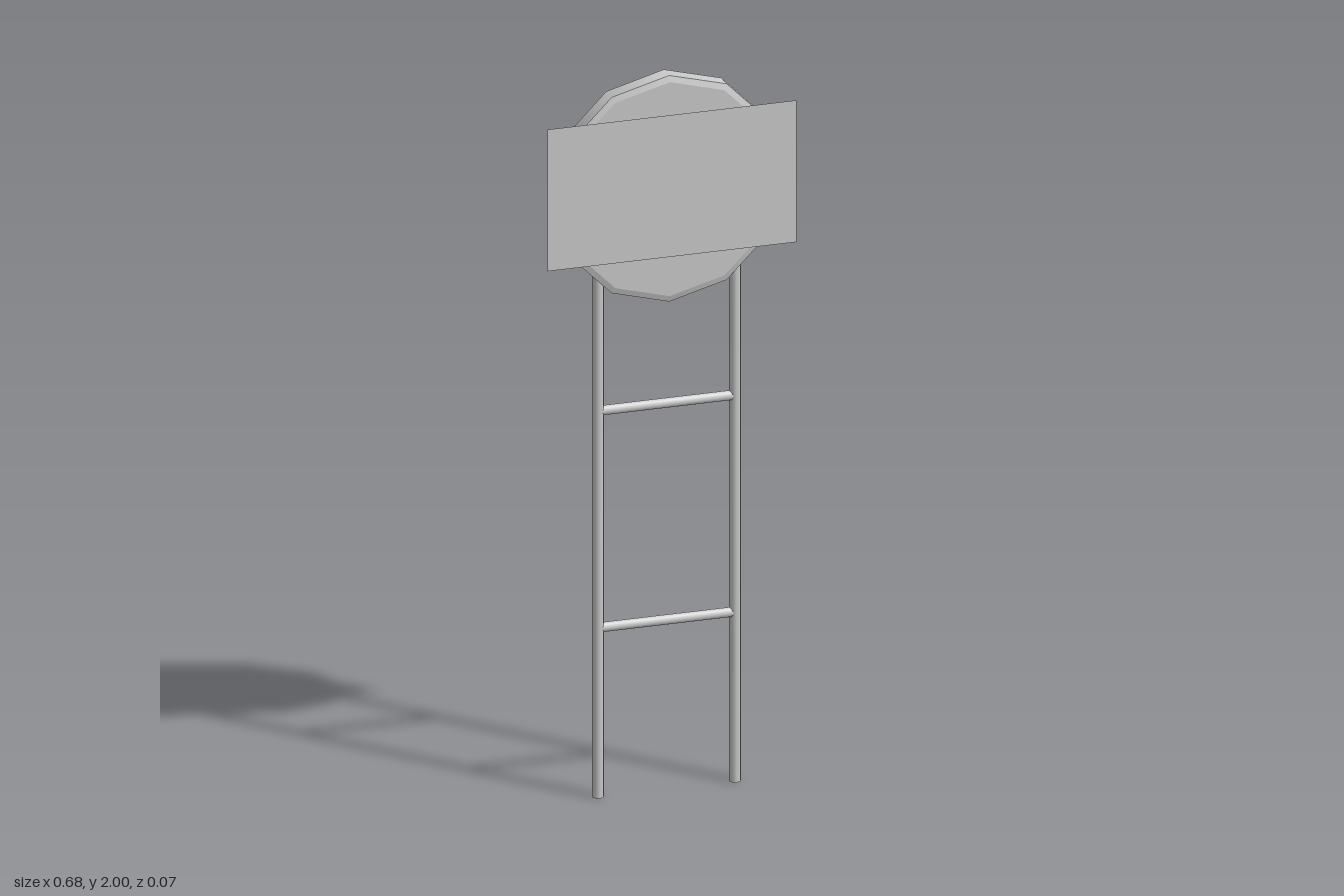
import * as THREE from 'three';

const Z = -0.009; // depth of the disc and ladder centre line

export function createModel() {
  const model = new THREE.Group();
  model.name = 'signpost';
  const grey = new THREE.MeshStandardMaterial({ color: 0xcccccc });
  const sheet = new THREE.MeshStandardMaterial({ color: 0xcccccc, side: THREE.DoubleSide });

  const add = (parent, name, geometry, x, y, z, material = grey) => {
    const mesh = new THREE.Mesh(geometry, material);
    mesh.name = name;
    mesh.position.set(x, y, z);
    parent.add(mesh);
    return mesh;
  };

  // Two upright posts, running up into the disc
  const postHeight = 1.48;
  for (const [name, side] of [['leftPost', 1], ['rightPost', -1]]) {
    add(model, name, new THREE.CylinderGeometry(0.016, 0.016, postHeight, 8), side * 0.188, postHeight / 2, Z);
  }

  // Horizontal rungs between the posts
  for (const [name, y] of [['lowerRung', 0.472], ['upperRung', 1.078]]) {
    add(model, name, new THREE.CylinderGeometry(0.014, 0.014, 0.36, 8), 0, y, Z).rotation.z = Math.PI / 2;
  }

  // Twelve-sided disc: rim, two bevels and two flat faces, facing z
  const disc = new THREE.Group();
  disc.name = 'disc';
  disc.position.set(0, 1.685, Z);
  model.add(disc);
  const sides = 12, outer = 0.316, inner = 0.299, half = 0.028, rimHalf = 0.023;
  const bands = [
    ['rim', outer, outer, -rimHalf, rimHalf],
    ['frontBevel', inner, outer, rimHalf, half],
    ['backBevel', outer, inner, -half, -rimHalf],
  ];
  for (const [name, frontR, backR, z0, z1] of bands) {
    const geometry = new THREE.CylinderGeometry(frontR, backR, z1 - z0, sides, 1, true);
    geometry.rotateX(Math.PI / 2);
    add(disc, name, geometry, 0, 0, (z0 + z1) / 2);
  }
  add(disc, 'frontFace', new THREE.CircleGeometry(inner, sides), 0, 0, half);
  add(disc, 'backFace', new THREE.CircleGeometry(inner, sides), 0, 0, -half).rotation.y = Math.PI;

  // Thin rectangular panel just in front of the disc
  add(model, 'panel', new THREE.PlaneGeometry(0.684, 0.396), 0, 1.701, 0.037, sheet);

  return model;
}
